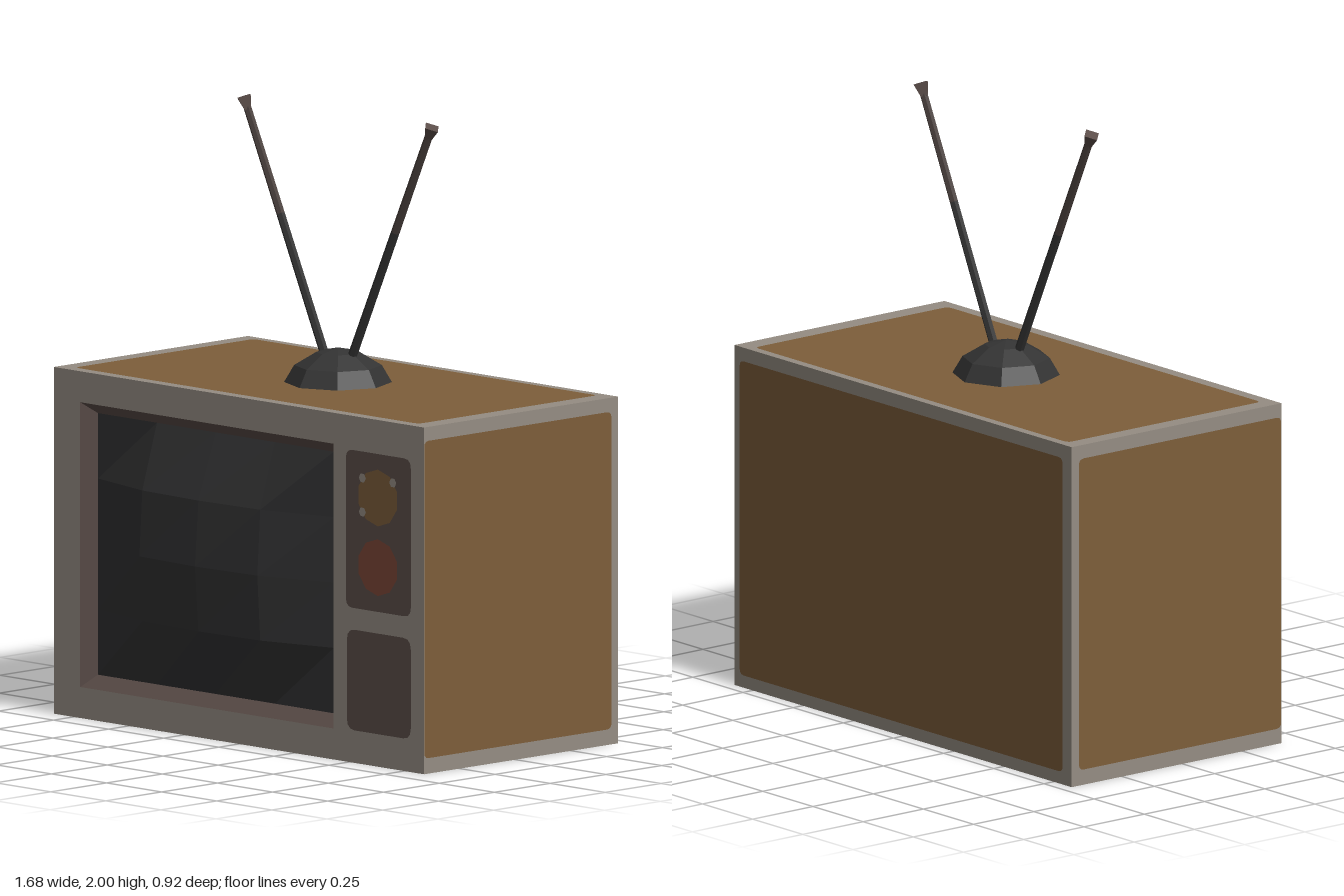
import * as THREE from 'three';

const mat = (name, color, flatShading = true) => {
  const m = new THREE.MeshStandardMaterial({ color, flatShading, side: THREE.DoubleSide });
  m.name = name;
  return m;
};

// Rectangle from (x0, y0) to (x1, y1) with small cut-in corners of radius r
function rect(x0, y0, x1, y1, r = 0, Type = THREE.Shape) {
  const s = new Type();
  s.moveTo(x0 + r, y0);
  s.lineTo(x1 - r, y0);
  if (r) s.quadraticCurveTo(x1, y0, x1, y0 + r);
  s.lineTo(x1, y1 - r);
  if (r) s.quadraticCurveTo(x1, y1, x1 - r, y1);
  s.lineTo(x0 + r, y1);
  if (r) s.quadraticCurveTo(x0, y1, x0, y1 - r);
  s.lineTo(x0, y0 + r);
  if (r) s.quadraticCurveTo(x0, y0, x0 + r, y0);
  s.closePath();
  return s;
}

// Many-sided round outline for a knob
function round(x, y, r) {
  const s = new THREE.Shape();
  for (let i = 0; i < 10; i++) {
    const a = (i + 0.5) * Math.PI / 5;
    s[i ? 'lineTo' : 'moveTo'](x + r * Math.cos(a), y + r * Math.sin(a));
  }
  s.closePath();
  return s;
}

export function createModel() {
  const trim = mat('greyTrim', 0x958d83);
  const wood = mat('brownWood', 0x7d5e3a);
  const plastic = mat('darkBrownPlastic', 0x5b4d49);
  const black = mat('blackPlastic', 0x333333);
  const glass = mat('screenGlass', 0x323233);
  const red = mat('redKnob', 0x7c4638);
  const rodBrown = mat('antennaBrown', 0x4a403d);

  const model = new THREE.Group();
  model.name = 'television';
  const add = (parent, name, geometry, material) => {
    const m = new THREE.Mesh(geometry, material);
    m.name = name;
    parent.add(m);
    return m;
  };
  const group = name => {
    const g = new THREE.Group();
    g.name = name;
    model.add(g);
    return g;
  };
  const flat = shape => new THREE.ShapeGeometry(shape, 3);

  const W = 0.84, H = 1.12, ZF = 0.41, ZB = -0.46;

  // Cabinet walls: a grey border around a wood panel; the bottom stays open
  function wall(name, outer, inner) {
    const g = group(name);
    const frame = rect(...outer);
    frame.holes.push(rect(...inner, 0.02, THREE.Path));
    add(g, name + 'Border', flat(frame), trim);
    add(g, name + 'Panel', flat(rect(...inner, 0.02)), wood);
    return g;
  }
  const right = wall('rightWall', [ZB, 0, ZF, H], [-0.43, 0.05, ZF - 0.001, 1.075]);
  right.rotation.y = -Math.PI / 2;
  right.position.x = -W;
  const left = wall('leftWall', [-ZF, 0, -ZB, H], [-ZF + 0.001, 0.05, 0.43, 1.075]);
  left.rotation.y = Math.PI / 2;
  left.position.x = W;
  const back = wall('backWall', [-W, 0, W, H], [-0.815, 0.04, 0.795, 1.075]);
  back.rotation.y = Math.PI;
  back.position.z = ZB;
  const top = wall('topWall', [-W, -ZF, W, -ZB], [-0.785, -0.37, 0.775, 0.43]);
  top.rotation.x = -Math.PI / 2;
  top.position.y = H;

  // Front face with openings for the screen and the two control panels
  const front = group('front');
  front.position.z = ZF;
  const face = rect(-W, 0, W, H);
  const opening = [-0.72, 0.10, 0.43, 1.02];
  const upper = [0.485, 0.50, 0.78, 1.01], lower = [0.49, 0.105, 0.78, 0.43];
  face.holes.push(rect(...opening, 0, THREE.Path),
    rect(...upper, 0.03, THREE.Path), rect(...lower, 0.035, THREE.Path));
  add(front, 'frontFrame', flat(face), trim);

  const knobs = [
    ['upperKnob', round(0.63, 0.868, 0.092), wood],
    ['lowerKnob', round(0.63, 0.643, 0.092), red],
  ];
  const controls = rect(...upper, 0.03);
  for (const [name, shape, material] of knobs) {
    controls.holes.push(shape);
    add(front, name, flat(shape), material);
  }
  add(front, 'controlPanel', flat(controls), plastic);
  add(front, 'speakerPanel', flat(rect(...lower, 0.035)), plastic);

  // Light flecks at the rim of the upper knob
  for (const [x, y] of [[0.562, 0.925], [0.7, 0.925], [0.562, 0.815]]) {
    add(front, 'knobFleck', new THREE.CircleGeometry(0.016, 6), trim).position.set(x, y, 0.002);
  }

  // Bevel sloping back from the opening to the screen edge
  const inner = [-0.68, 0.14, 0.39, 0.985], zIn = 0.37;
  const ring = ([x0, y0, x1, y1], z) => [[x0, y0, z], [x1, y0, z], [x1, y1, z], [x0, y1, z]];
  const a = ring(opening, ZF), b = ring(inner, zIn), pts = [];
  for (let i = 0; i < 4; i++) {
    const j = (i + 1) % 4;
    pts.push(...a[i], ...a[j], ...b[j], ...a[i], ...b[j], ...b[i]);
  }
  const bevel = new THREE.BufferGeometry();
  bevel.setAttribute('position', new THREE.Float32BufferAttribute(pts, 3));
  bevel.computeVertexNormals();
  add(model, 'screenBevel', bevel, plastic);

  // Bulging screen
  const sw = inner[2] - inner[0], sh = inner[3] - inner[1];
  const screen = new THREE.PlaneGeometry(sw, sh, 4, 4);
  const p = screen.attributes.position;
  const bulge = t => 1 - Math.pow(Math.abs(t), 2.6);
  for (let i = 0; i < p.count; i++) {
    p.setZ(i, 0.094 * bulge(2 * p.getX(i) / sw) * bulge(2 * p.getY(i) / sh));
  }
  screen.computeVertexNormals();
  add(model, 'screen', screen, glass)
    .position.set((inner[0] + inner[2]) / 2, (inner[1] + inner[3]) / 2, zIn);

  // Antenna: faceted dome, two splayed rods and flared tips
  const antenna = group('antenna');
  antenna.position.set(0.008, H, -0.026);
  const profile = [[0.172, 0], [0.14, 0.055], [0.07, 0.097], [0, 0.112]]
    .map(([x, y]) => new THREE.Vector2(x, y));
  add(antenna, 'antennaBase', new THREE.LatheGeometry(profile, 8), black);
  for (const side of [-1, 1]) {
    const rod = new THREE.Group();
    rod.name = side < 0 ? 'rightRod' : 'leftRod';
    rod.position.set(side * 0.05, 0.06, 0);
    rod.rotation.z = -side * Math.atan2(0.375, 0.81);
    antenna.add(rod);
    const piece = (name, r1, r0, y0, y1, n, m) =>
      add(rod, name, new THREE.CylinderGeometry(r1, r0, y1 - y0, n), m).position.y = (y0 + y1) / 2;
    piece('lowerRod', 0.014, 0.015, 0, 0.5, 6, black);
    piece('upperRod', 0.013, 0.014, 0.5, 0.86, 6, rodBrown);
    piece('rodTip', 0.03, 0.014, 0.85, 0.895, 4, plastic);
  }
  return model;
}
